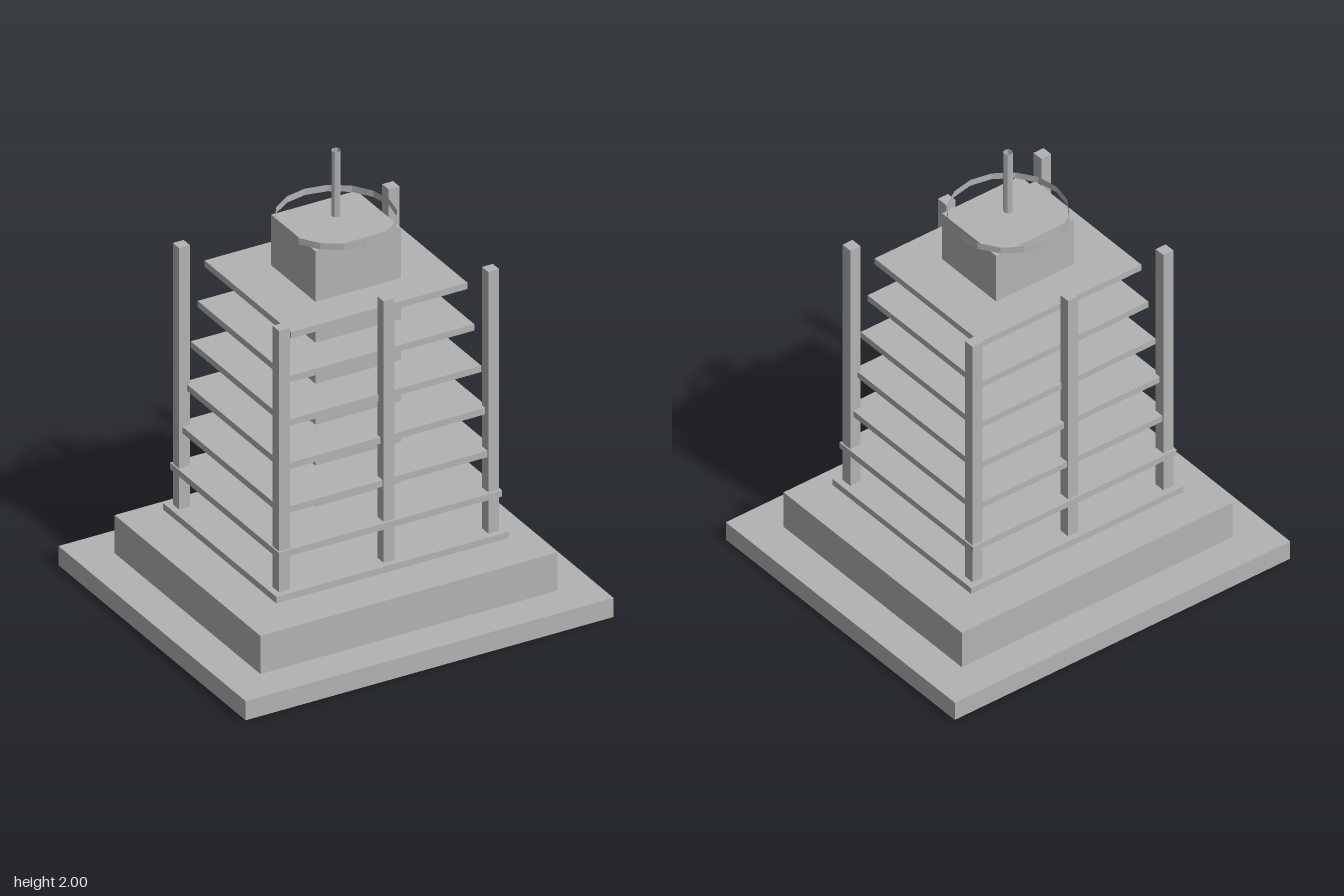
import * as THREE from 'three';

export function createModel() {
  const model = new THREE.Group();
  model.name = 'tower';
  const concrete = new THREE.MeshStandardMaterial({ color: 0xb3b3b3 });
  concrete.name = 'concrete grey';
  // same colour for the open, thin tubes
  const sheet = new THREE.MeshStandardMaterial({ color: 0xb3b3b3, side: THREE.DoubleSide, flatShading: true });
  sheet.name = 'concrete grey sheet';

  const add = (name, geometry, material, x, y, z) => {
    const mesh = new THREE.Mesh(geometry, material);
    mesh.name = name;
    mesh.position.set(x, y, z);
    model.add(mesh);
  };
  // block standing between two heights
  const block = (name, w, d, y0, y1, x = 0, z = 0) =>
    add(name, new THREE.BoxGeometry(w, y1 - y0, d), concrete, x, (y0 + y1) / 2, z);
  // tube without end caps
  const tube = (name, r, y0, y1, sides) =>
    add(name, new THREE.CylinderGeometry(r, r, y1 - y0, sides, 1, true), sheet, 0, (y0 + y1) / 2, 0);

  // stepped base and core
  block('plinth', 1.69, 1.477, 0, 0.087);
  block('podium', 1.364, 1.15, 0.087, 0.26);
  block('core', 0.392, 0.349, 0.28, 1.678);

  // floors that shrink towards the top
  for (let i = 0; i < 7; i++) {
    const y = 0.32 + i * 0.1857;
    block('floor' + (i + 1), 1.069 - i * 0.0432, 0.894 - i * 0.0352, y - 0.0145, y + 0.0145);
  }

  // three posts along the front and three along the back
  for (const z of [-0.394, 0.394])
    for (const x of [-0.481, 0, 0.481])
      block('post', 0.05, 0.05, 0.296, 1.519, x, z);

  // roof ring and mast
  tube('roofRing', 0.245, 1.679, 1.708, 16);
  tube('mast', 0.0195, 1.705, 2, 8);
  return model;
}
